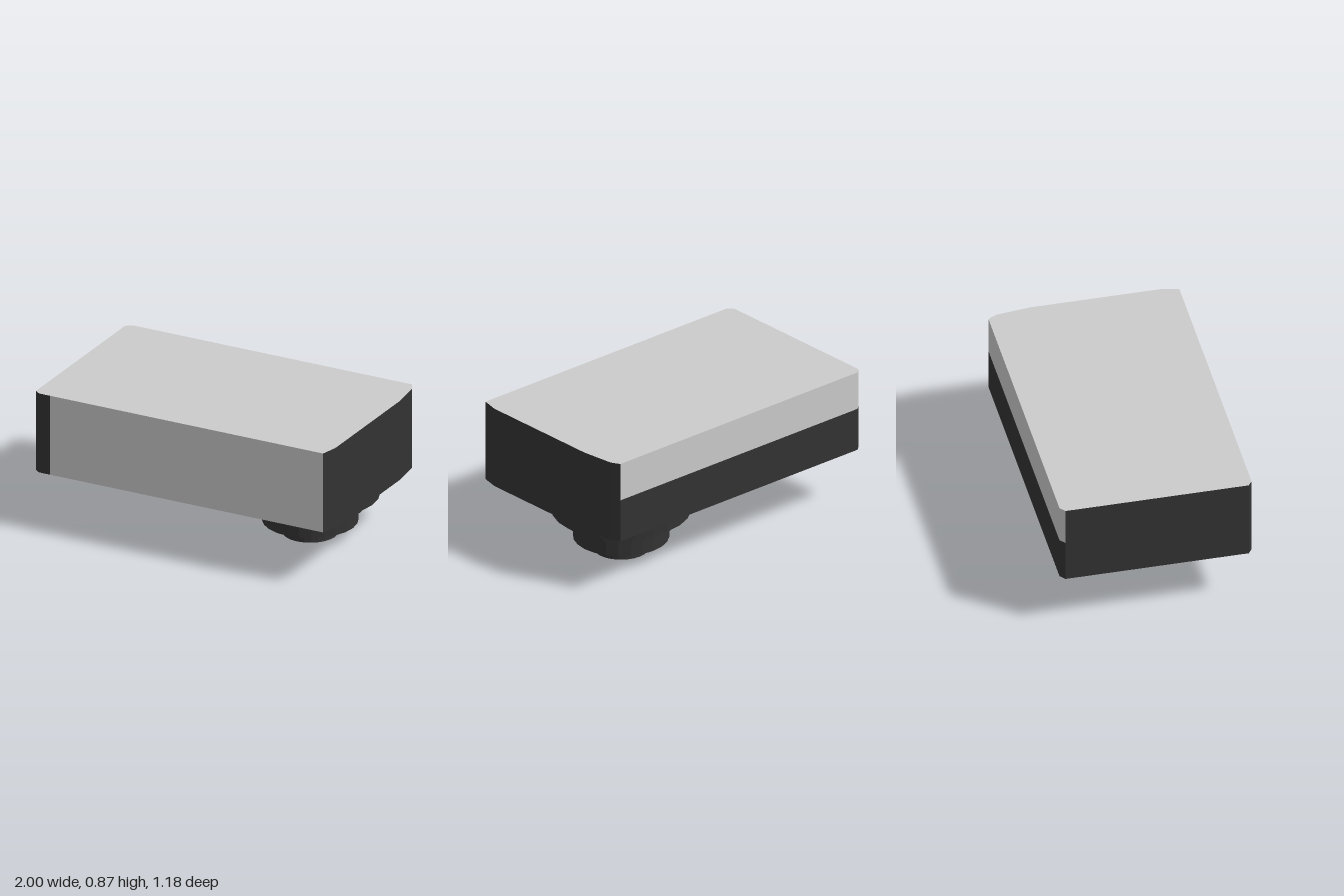
import * as THREE from 'three';

const grey = new THREE.MeshStandardMaterial({ color: 0xcccccc, flatShading: true });
const dark = new THREE.MeshStandardMaterial({ color: 0x333333, flatShading: true });

const BOTTOM = 0.357, SPLIT = 0.63, TOP = 0.873;

// Plan of the body as [x, z], walked front, right, back, left
const plan = [
  [-0.89, 0.59], [0.975, 0.59], [1, 0.48], [1, -0.33], [0.975, -0.54], [0.945, -0.595],
  [-0.965, -0.595], [-1, -0.565], [-1, 0.565], [-0.965, 0.59],
];

function add(group, name, geometry, material) {
  const mesh = new THREE.Mesh(geometry, material);
  mesh.name = name;
  group.add(mesh);
  return mesh;
}

// Upright wall following the plan from one corner to another
function wall(from, to, y0, y1) {
  const v = [];
  for (let i = from; i < to; i++) {
    const [ax, az] = plan[i % plan.length], [bx, bz] = plan[(i + 1) % plan.length];
    v.push(ax, y0, az, bx, y0, bz, bx, y1, bz, ax, y0, az, bx, y1, bz, ax, y1, az);
  }
  const g = new THREE.BufferGeometry();
  g.setAttribute('position', new THREE.Float32BufferAttribute(v, 3));
  g.computeVertexNormals();
  return g;
}

// Flat cap over the plan, facing up or down
function cap(y, up) {
  const s = up ? -1 : 1;
  const shape = new THREE.Shape(plan.map(([x, z]) => new THREE.Vector2(x, s * z)));
  return new THREE.ShapeGeometry(shape).rotateX(s * Math.PI / 2).translate(0, y, 0);
}

export function createModel() {
  const model = new THREE.Group();

  // Body shell
  const body = new THREE.Group();
  body.name = 'body';
  model.add(body);
  add(body, 'topPanel', cap(TOP, true), grey);
  add(body, 'bottomPanel', cap(BOTTOM, false), grey);
  add(body, 'frontPanel', wall(0, 1, BOTTOM, TOP), grey);
  add(body, 'leftSide', wall(1, 5, BOTTOM, TOP), dark);
  add(body, 'backUpperPanel', wall(5, 7, SPLIT, TOP), grey);
  add(body, 'backLowerPanel', wall(5, 7, BOTTOM, SPLIT), dark);
  add(body, 'rightSide', wall(7, 10, BOTTOM, TOP), dark);

  // Stepped round tower under the body: radius, bottom, top, underside
  const tower = new THREE.Group();
  tower.name = 'steppedTower';
  tower.position.set(0.509, 0, -0.113);
  model.add(tower);
  const steps = [
    [0.422, 0.262, BOTTOM, dark],
    [0.342, 0.197, 0.262, grey],
    [0.291, 0.085, 0.197, grey],
    [0.167, 0.002, 0.085, grey],
  ];
  steps.forEach(([r, y0, y1, under], i) => {
    const g = new THREE.CylinderGeometry(r, r, y1 - y0, 24);
    add(tower, 'step' + (i + 1), g, [dark, dark, under]).position.y = (y0 + y1) / 2;
  });

  // Thin square frame on the end of the tower
  const square = (h) => [[-h, -h], [h, -h], [h, h], [-h, h]].map((p) => new THREE.Vector2(...p));
  const frame = new THREE.Shape(square(0.112));
  frame.holes.push(new THREE.Path(square(0.104).reverse()));
  const rim = new THREE.ExtrudeGeometry(frame, { depth: 0.002, bevelEnabled: false });
  add(tower, 'squareFrame', rim.rotateX(Math.PI / 2).translate(0, 0.002, 0), grey);

  return model;
}
